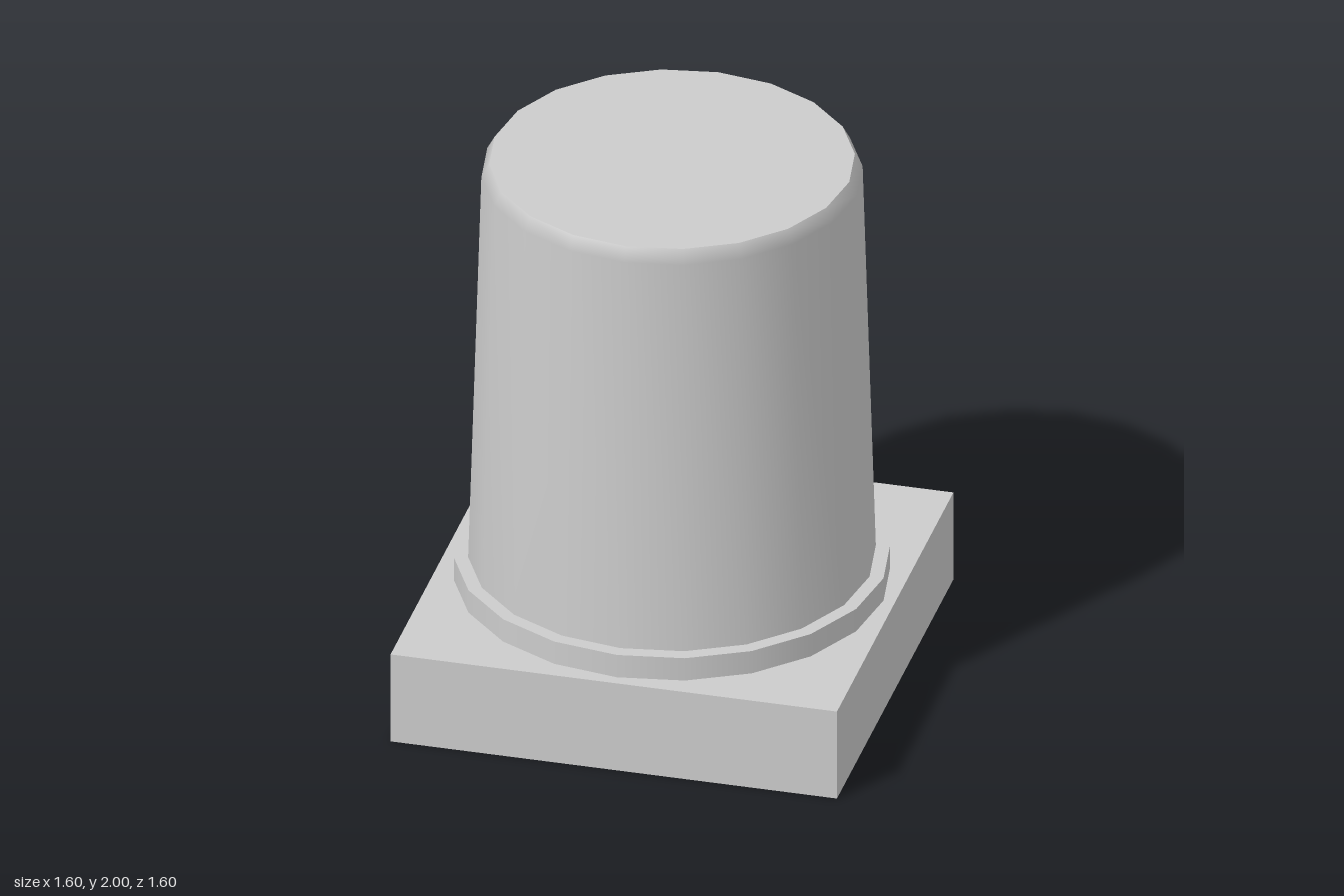
import * as THREE from 'three';
import { mergeVertices } from 'three/addons/utils/BufferGeometryUtils.js';

const SIDES = 20;
const material = new THREE.MeshStandardMaterial({ color: 0xcccccc });

function addPart(group, name, geometry, y) {
  const mesh = new THREE.Mesh(geometry, material);
  mesh.name = name;
  mesh.position.y = y;
  group.add(mesh);
}

// Tapered wall with a bevelled top edge, smoothed by face area
function shaftWall() {
  const profile = [[0.71, 0.435], [0.664, 1.95], [0.637, 2]];
  const lathe = new THREE.LatheGeometry(profile.map(([r, y]) => new THREE.Vector2(r, y)), SIDES);
  lathe.deleteAttribute('normal');
  lathe.deleteAttribute('uv');
  const wall = mergeVertices(lathe, 1e-4);
  wall.computeVertexNormals();
  return wall;
}

export function createModel() {
  const model = new THREE.Group();
  model.name = 'pedestal';

  // Square plinth and the round collar on it
  addPart(model, 'plinth', new THREE.BoxGeometry(1.604, 0.347, 1.604), 0.1735);
  addPart(model, 'collar', new THREE.CylinderGeometry(0.76, 0.76, 0.09, SIDES), 0.391);

  // Tapered shaft and its flat top
  addPart(model, 'shaft', shaftWall(), 0);
  addPart(model, 'shaftTop', new THREE.CircleGeometry(0.637, SIDES).rotateX(-Math.PI / 2), 2);

  return model;
}
